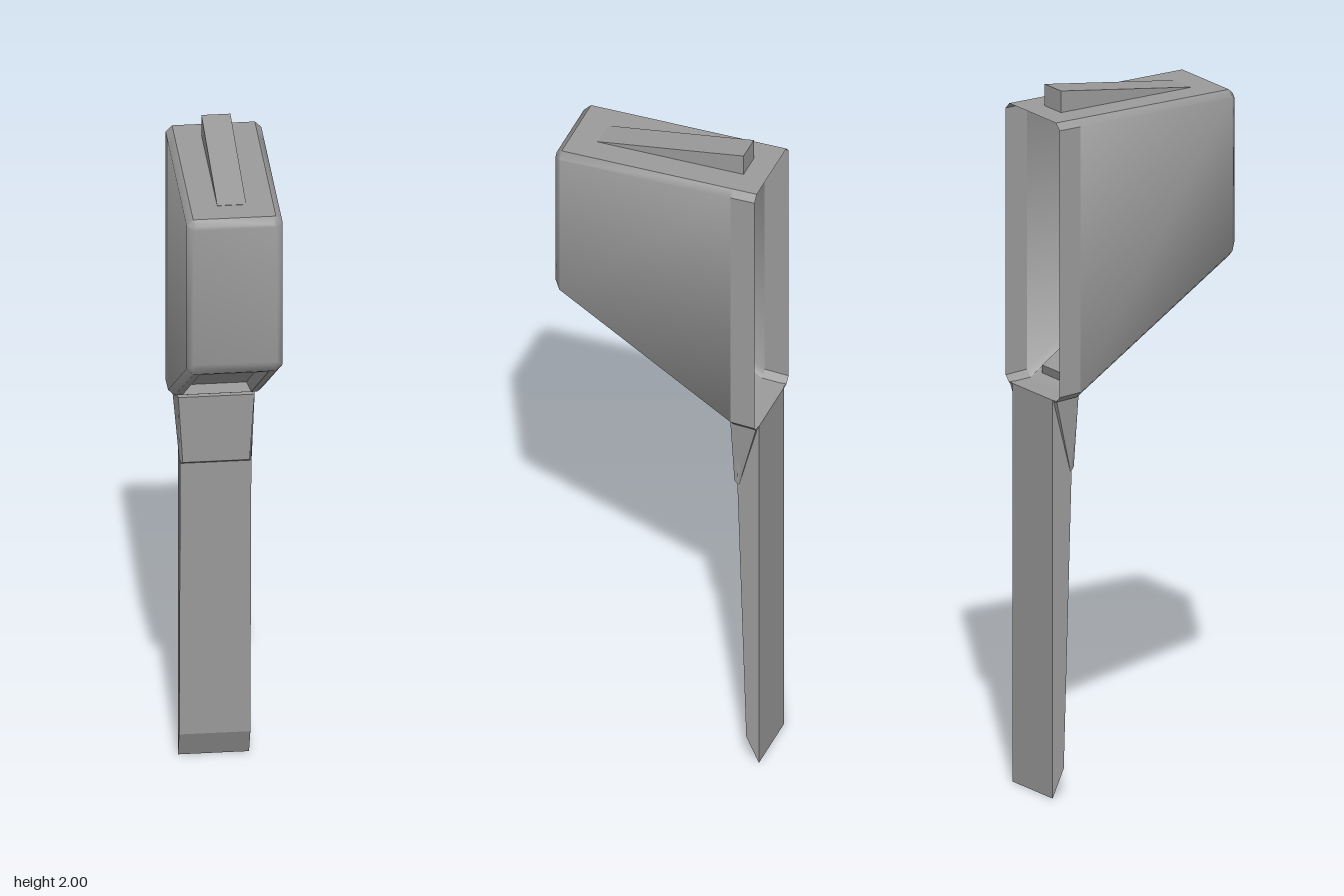
import * as THREE from 'three';
import { toCreasedNormals } from 'three/addons/utils/BufferGeometryUtils.js';

const material = new THREE.MeshStandardMaterial({ color: 0x9b9b9b, side: THREE.DoubleSide });

function addMesh(group, name, geometry) {
  const mesh = new THREE.Mesh(geometry, material);
  mesh.name = name;
  group.add(mesh);
}

// Geometry from a list of convex polygons, smooth below the crease angle
function fromFaces(faces, crease) {
  const pos = [];
  for (const f of faces)
    for (let i = 1; i < f.length - 1; i++) pos.push(...f[0], ...f[i], ...f[i + 1]);
  const g = new THREE.BufferGeometry();
  g.setAttribute('position', new THREE.Float32BufferAttribute(pos, 3));
  g.computeVertexNormals();
  return crease ? toCreasedNormals(g, crease) : g;
}

// Chamfered rectangular section at depth z, counterclockwise from the front
function section(z, w, c, b, t) {
  const half = [[w - c, b], [w, b + c], [w, t - c], [w - c, t]];
  const mirrored = half.map(([x, y]) => [-x, y]).reverse();
  return [...half, ...mirrored].map(([x, y]) => [x, y, z]);
}

// Wall between two sections, leaving out the listed sides
function wall(front, back, skip) {
  const faces = [];
  for (let i = 0; i < 8; i++) {
    const j = (i + 1) % 8;
    if (!skip.includes(i)) faces.push([front[i], back[i], back[j], front[j]]);
  }
  return faces;
}

// Panel with a frame around a pocket: outer corners, rim corners, pocket end corners
function pocketPanel(outer, rim, end) {
  const faces = [end];
  for (const [a, b] of [[outer, rim], [rim, end]])
    for (let i = 0; i < 4; i++) {
      const j = (i + 1) % 4;
      faces.push([a[i], a[j], b[j], b[i]]);
    }
  return fromFaces(faces);
}

// Four corners spanning two edges of constant y and z
const corners = (w1, y1, z1, w2, y2, z2) =>
  [[-w1, y1, z1], [w1, y1, z1], [w2, y2, z2], [-w2, y2, z2]];

export function createModel() {
  const group = new THREE.Group();
  const TOP = 3, FLOOR = 7;

  // Open-backed housing with bevelled front and sloping underside
  const nose = section(0.295, 0.115, 0.01, 1.49, 1.923);
  const front = section(0.277, 0.132, 0.018, 1.462, 1.938);
  const seam = section(-0.225, 0.132, 0.018, 1.142, 1.938);
  const back = section(-0.295, 0.132, 0.018, 1.138, 1.938);
  const noseCap = [[1, 2, 5, 6], [2, 3, 4, 5], [6, 7, 0, 1]].map((f) => f.map((i) => nose[i]));
  addMesh(group, 'housingShell', fromFaces(
    [...noseCap, ...wall(nose, front, []), ...wall(front, seam, [TOP, FLOOR])], 0.9));

  // Flat-sided rim around the open back
  addMesh(group, 'rearRim', fromFaces(wall(seam, back, [TOP])));

  // Sloping floor with a shallow recess pressed into the housing
  addMesh(group, 'recessedFloor', pocketPanel(
    corners(0.114, 1.142, -0.225, 0.114, 1.462, 0.277),
    corners(0.095, 1.155, -0.2, 0.095, 1.452, 0.262),
    corners(0.082, 1.182, -0.208, 0.082, 1.474, 0.243)));

  // Top with a hollow wedge rising towards the back
  addMesh(group, 'topWithWedge', pocketPanel(
    corners(0.114, 1.938, 0.277, 0.114, 1.938, -0.295),
    corners(0.04, 1.938, 0.2, 0.04, 1.938, -0.228),
    corners(0.04, 1.939, 0.2, 0.04, 2, -0.228)));

  // Long flat stem with a tapered tip
  const profile = new THREE.Shape([
    [-0.295, 0], [-0.258, 0.08], [-0.232, 0.93], [-0.225, 1.14], [-0.295, 1.14],
  ].map(([z, y]) => new THREE.Vector2(z, y)));
  const stem = new THREE.ExtrudeGeometry(profile, { depth: 0.196, bevelEnabled: false });
  stem.rotateY(-Math.PI / 2).translate(0.098, 0, 0);
  addMesh(group, 'stem', stem);

  // Collar flaring from the stem up to the housing, narrower in front
  const levels = [
    corners(0.099, 0.925, -0.236, 0.092, 0.936, -0.221),
    corners(0.115, 1.14, -0.293, 0.105, 1.14, -0.214),
  ];
  const collar = [levels[0], [...levels[1]].reverse()];
  for (let i = 0; i < 4; i++) {
    const j = (i + 1) % 4;
    collar.push([levels[0][j], levels[0][i], levels[1][i], levels[1][j]]);
  }
  addMesh(group, 'collar', fromFaces(collar, 0.3));

  return group;
}
